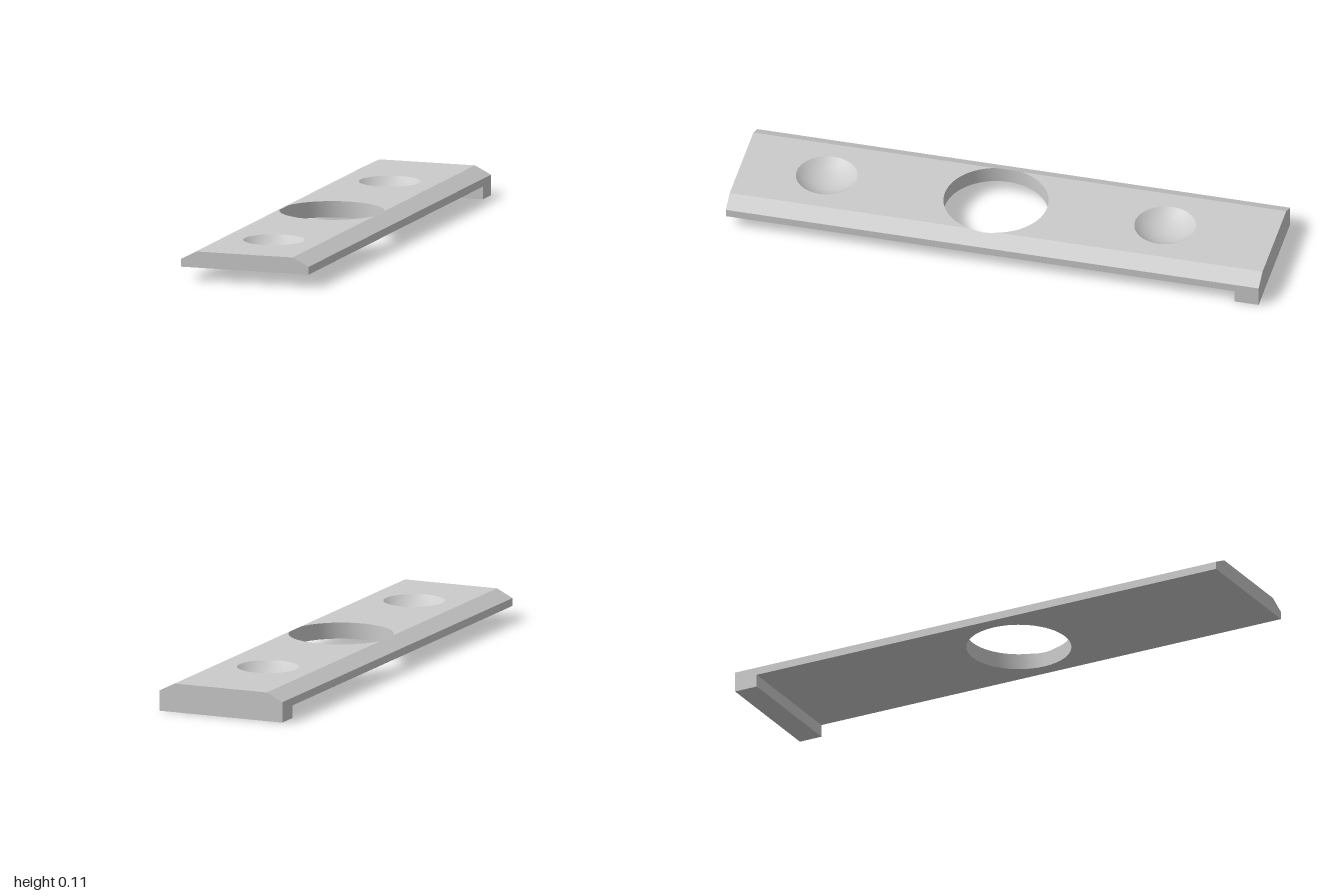
import * as THREE from 'three';
import { mergeGeometries } from 'three/addons/utils/BufferGeometryUtils.js';

const W = 0.247, TOP = 0.107, EDGE = 0.076, UNDER = 0.047; // half width and heights
const FLAT = 0.185;                    // half width of the flat top, chamfers outside it
const LUG = -0.91;                     // inner face of the rear lug
const HOLE_R = 0.192, HOLE_Z = 0.045;  // through hole
const DIMPLE_R = 0.113, DIMPLE_D = 0.045, DIMPLES = [0.68, -0.59];

const topY = x => TOP - Math.max(0, Math.abs(x) - FLAT) * (TOP - EDGE) / (W - FLAT);

// Points of a circle arc in the (x, z) plane
function arc(cz, r, from, to, n) {
  return Array.from({ length: n + 1 }, (_, i) => {
    const a = from + (to - from) * i / n;
    return new THREE.Vector2(r * Math.cos(a), cz + r * Math.sin(a));
  });
}

const vec = pairs => pairs.map(([a, b]) => new THREE.Vector2(a, b));

// Flat outline placed in space by a mapping; flip turns the face round
function patch(points, map, flip, hole) {
  const shape = new THREE.Shape(points);
  if (hole) shape.holes.push(new THREE.Path(hole));
  const g = new THREE.ShapeGeometry(shape);
  const p = g.attributes.position;
  for (let i = 0; i < p.count; i++) p.setXYZ(i, ...map(p.getX(i), p.getY(i)));
  if (flip) g.index.array.reverse();
  const flat = g.toNonIndexed();
  flat.computeVertexNormals();
  return flat;
}

export function createModel() {
  const group = new THREE.Group();
  const material = new THREE.MeshStandardMaterial({ color: 0xcccccc });
  const add = (name, geometry, mat = material) => {
    const mesh = new THREE.Mesh(geometry, mat);
    mesh.name = name;
    group.add(mesh);
    return mesh;
  };

  // Hole outline, split where it crosses the chamfer edges
  const a0 = Math.acos(FLAT / HOLE_R);
  const rightArc = arc(HOLE_Z, HOLE_R, -a0, a0, 4);
  const frontArc = arc(HOLE_Z, HOLE_R, a0, Math.PI - a0, 24);
  const leftArc = arc(HOLE_Z, HOLE_R, Math.PI - a0, Math.PI + a0, 4);
  const backArc = arc(HOLE_Z, HOLE_R, Math.PI + a0, 2 * Math.PI - a0, 24);
  const rim = [rightArc, frontArc, leftArc, backArc].flatMap(a => a.slice(0, -1));

  // Flat top in two halves, each with a dimple opening, and the two chamfers
  const onTop = (x, z) => [x, topY(x), z];
  const dimpleRim = cz => arc(cz, DIMPLE_R, 0, 2 * Math.PI, 32).slice(0, -1);
  const chamfer = [...vec([[FLAT, -1], [W, -1], [W, 1], [FLAT, 1]]), ...rightArc.slice().reverse()];
  const faces = [
    patch([...frontArc, ...vec([[-FLAT, 1], [FLAT, 1]])], onTop, true, dimpleRim(DIMPLES[0])),
    patch([...backArc, ...vec([[FLAT, -1], [-FLAT, -1]])], onTop, true, dimpleRim(DIMPLES[1])),
    patch(chamfer, onTop, true),
    patch(chamfer, (x, z) => [-x, topY(x), z], false),
  ];

  // Underside of the plate, bottom and inner face of the lug
  const rect = (x0, x1, y0, y1) => vec([[x0, y0], [x1, y0], [x1, y1], [x0, y1]]);
  faces.push(
    patch(rect(-W, W, LUG, 1), (x, z) => [x, UNDER, z], false, rim),
    patch(rect(-W, W, -1, LUG), (x, z) => [x, 0, z], false),
    patch(rect(-W, W, 0, UNDER), (x, y) => [x, y, LUG], false));

  // Long sides and ends
  const side = vec([[-1, 0], [LUG, 0], [LUG, UNDER], [1, UNDER], [1, EDGE], [-1, EDGE]]);
  const end = y0 => vec([[-W, y0], [W, y0], [W, EDGE], [FLAT, TOP], [-FLAT, TOP], [-W, EDGE]]);
  faces.push(
    patch(side, (z, y) => [W, y, z], true),
    patch(side, (z, y) => [-W, y, z], false),
    patch(end(UNDER), (x, y) => [x, y, 1], false),
    patch(end(0), (x, y) => [x, y, -1], true));
  add('plate', mergeGeometries(faces));

  // Wall of the through hole
  const positions = [], index = [], n = rim.length;
  rim.forEach(({ x, y: z }, i) => {
    positions.push(x, UNDER, z, x, topY(x), z);
    const b = 2 * i, c = 2 * ((i + 1) % n);
    index.push(b, c, b + 1, c, c + 1, b + 1);
  });
  const wall = new THREE.BufferGeometry();
  wall.setAttribute('position', new THREE.Float32BufferAttribute(positions, 3));
  wall.setIndex(index);
  wall.computeVertexNormals();
  add('holeWall', wall);

  // Shallow spherical dimples
  const R = (DIMPLE_R ** 2 + DIMPLE_D ** 2) / (2 * DIMPLE_D);
  const sweep = Math.asin(DIMPLE_R / R);
  const bowl = Array.from({ length: 9 }, (_, i) => {
    const a = sweep * (1 - i / 8);
    return new THREE.Vector2(R * Math.sin(a), R - DIMPLE_D - R * Math.cos(a));
  });
  const open = material.clone();
  open.side = THREE.DoubleSide;
  DIMPLES.forEach((z, i) => {
    add(i ? 'backDimple' : 'frontDimple', new THREE.LatheGeometry(bowl, 32), open).position.set(0, TOP, z);
  });

  return group;
}
